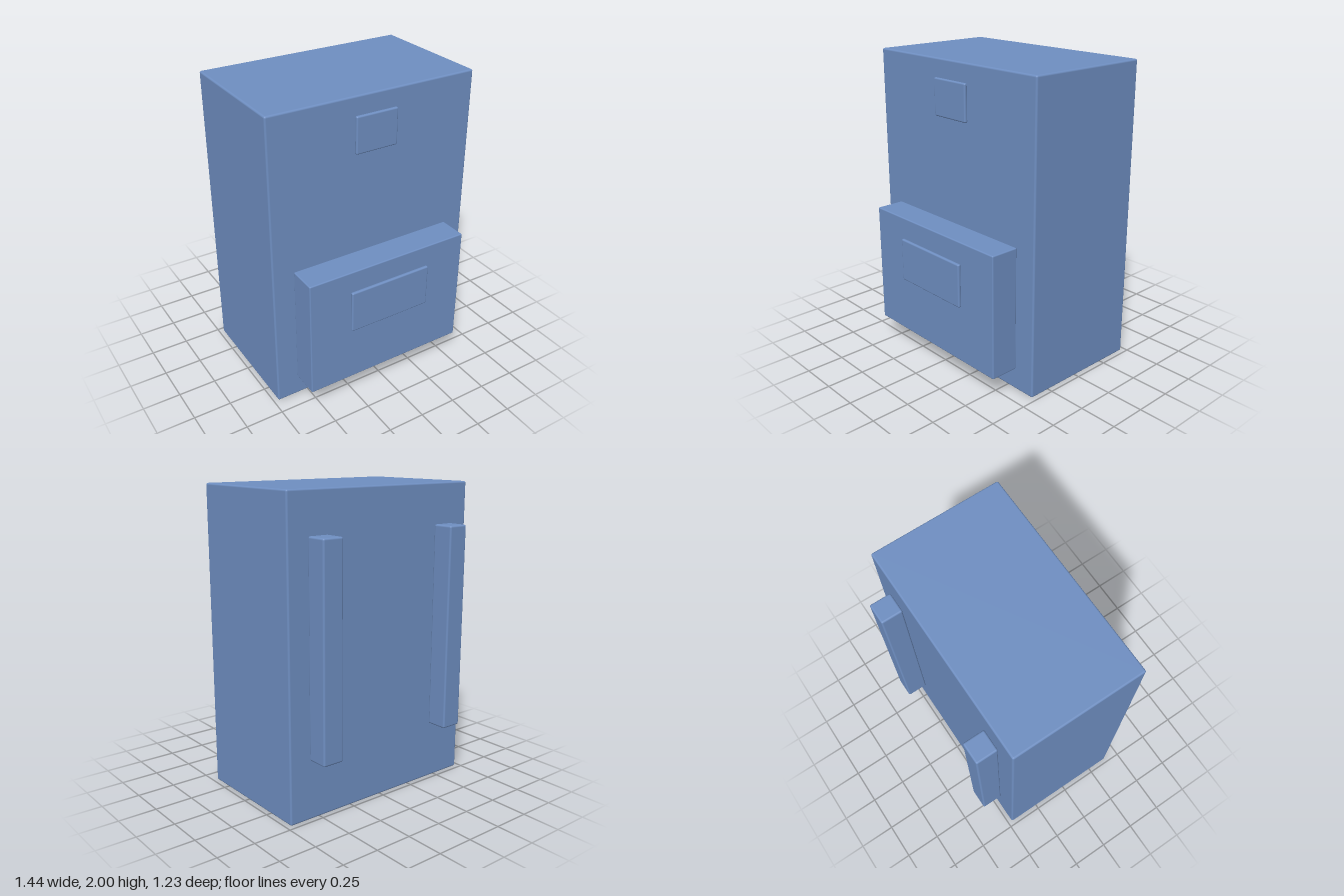
import * as THREE from 'three';
import { RoundedBoxGeometry } from 'three/addons/geometries/RoundedBoxGeometry.js';

export function createModel() {
  const model = new THREE.Group();
  model.name = 'backpack';
  const material = new THREE.MeshStandardMaterial({ color: 0x6f8fc2 });

  // Softly bevelled box given by its extents along each axis
  function block(name, [x0, x1], [y0, y1], [z0, z1], radius) {
    const geometry = new RoundedBoxGeometry(x1 - x0, y1 - y0, z1 - z0, 3, radius);
    const mesh = new THREE.Mesh(geometry, material);
    mesh.name = name;
    mesh.position.set((x0 + x1) / 2, (y0 + y1) / 2, (z0 + z1) / 2);
    model.add(mesh);
  }

  // Main compartment
  block('body', [-0.72, 0.72], [0, 2], [-0.47, 0.397], 0.012);

  // Front pocket with its raised panel
  block('frontPocket', [-0.576, 0.576], [0.147, 0.963], [0.397, 0.59], 0.008);
  block('pocketPanel', [-0.29, 0.29], [0.533, 0.823], [0.59, 0.614], 0.01);

  // Small patch near the top
  block('patch', [-0.146, 0.146], [1.642, 1.882], [0.397, 0.421], 0.01);

  // Shoulder straps on the back
  block('leftStrap', [0.434, 0.578], [0.39, 1.737], [-0.614, -0.47], 0.012);
  block('rightStrap', [-0.578, -0.434], [0.39, 1.737], [-0.614, -0.47], 0.012);

  return model;
}
